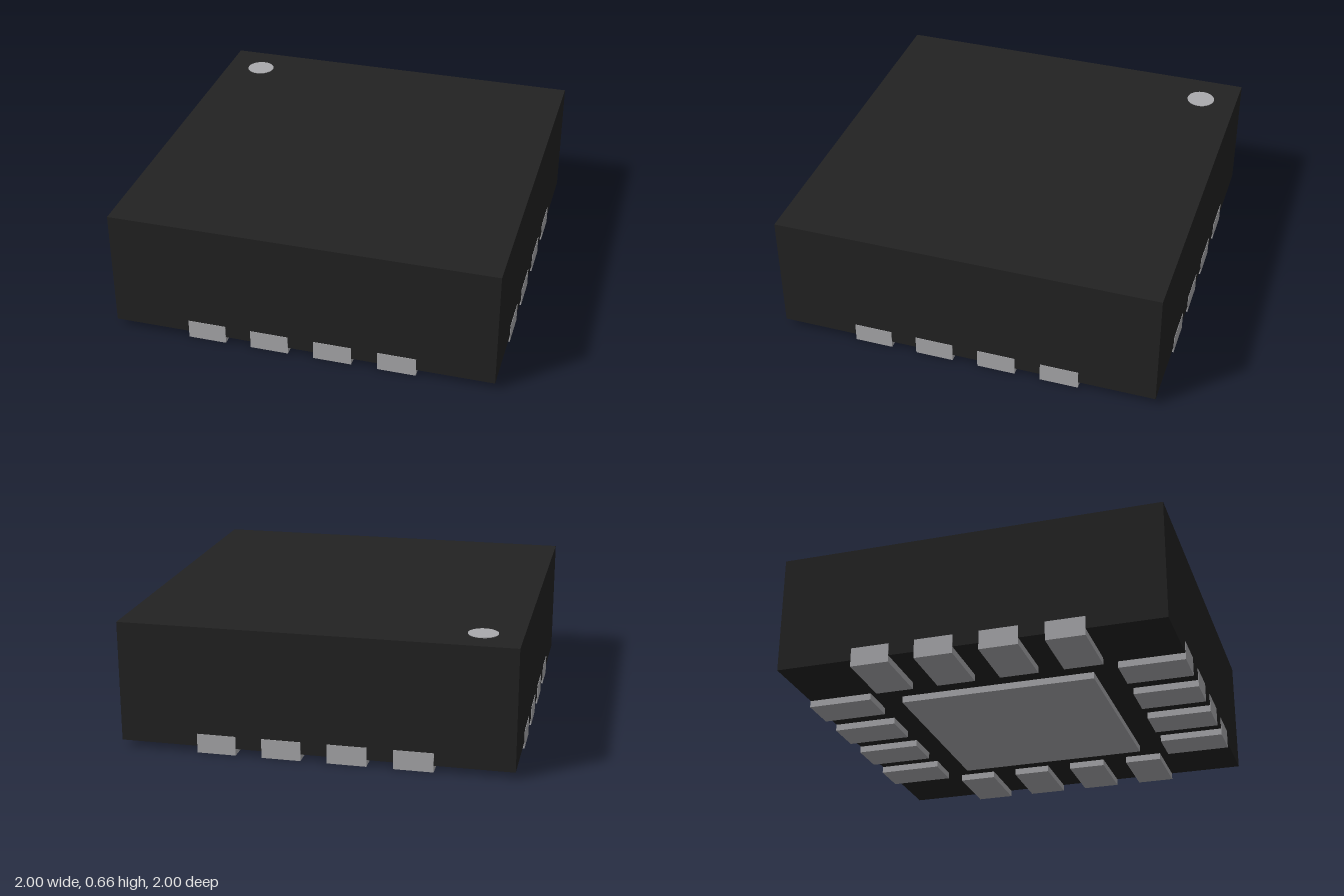
import * as THREE from 'three';

export function createModel() {
  const model = new THREE.Group();
  model.name = 'chipPackage';

  const plastic = new THREE.MeshStandardMaterial({ color: 0x222222 });
  plastic.name = 'black plastic';
  const metal = new THREE.MeshStandardMaterial({ color: 0xaaaaad });
  metal.name = 'grey metal';

  function addBox(parent, name, material, size, position) {
    const mesh = new THREE.Mesh(new THREE.BoxGeometry(...size), material);
    mesh.name = name;
    mesh.position.set(...position);
    parent.add(mesh);
  }

  // Moulded body, raised slightly on its pads
  const bottom = 0.035, top = 0.66;
  addBox(model, 'body', plastic, [1.996, top - bottom, 1.996], [0, (top + bottom) / 2, 0]);

  // Large thermal pad underneath
  addBox(model, 'thermalPad', metal, [1.03, 0.06, 1.03], [0, 0.03, 0]);

  // Four contacts on each side, wrapping up the edge of the body
  for (let side = 0; side < 4; side++) {
    const row = new THREE.Group();
    row.name = 'contactRow';
    row.rotation.y = side * Math.PI / 2;
    for (let i = 0; i < 4; i++) {
      addBox(row, 'contact', metal, [0.2, 0.1, 0.34], [-0.5 + i / 3, 0.05, 0.83]);
    }
    model.add(row);
  }

  // Round marker in the back corner of the top
  const marker = new THREE.Mesh(new THREE.CylinderGeometry(0.075, 0.075, 0.006, 40), metal);
  marker.name = 'cornerMarker';
  marker.position.set(-0.8, top, -0.8);
  model.add(marker);

  return model;
}
